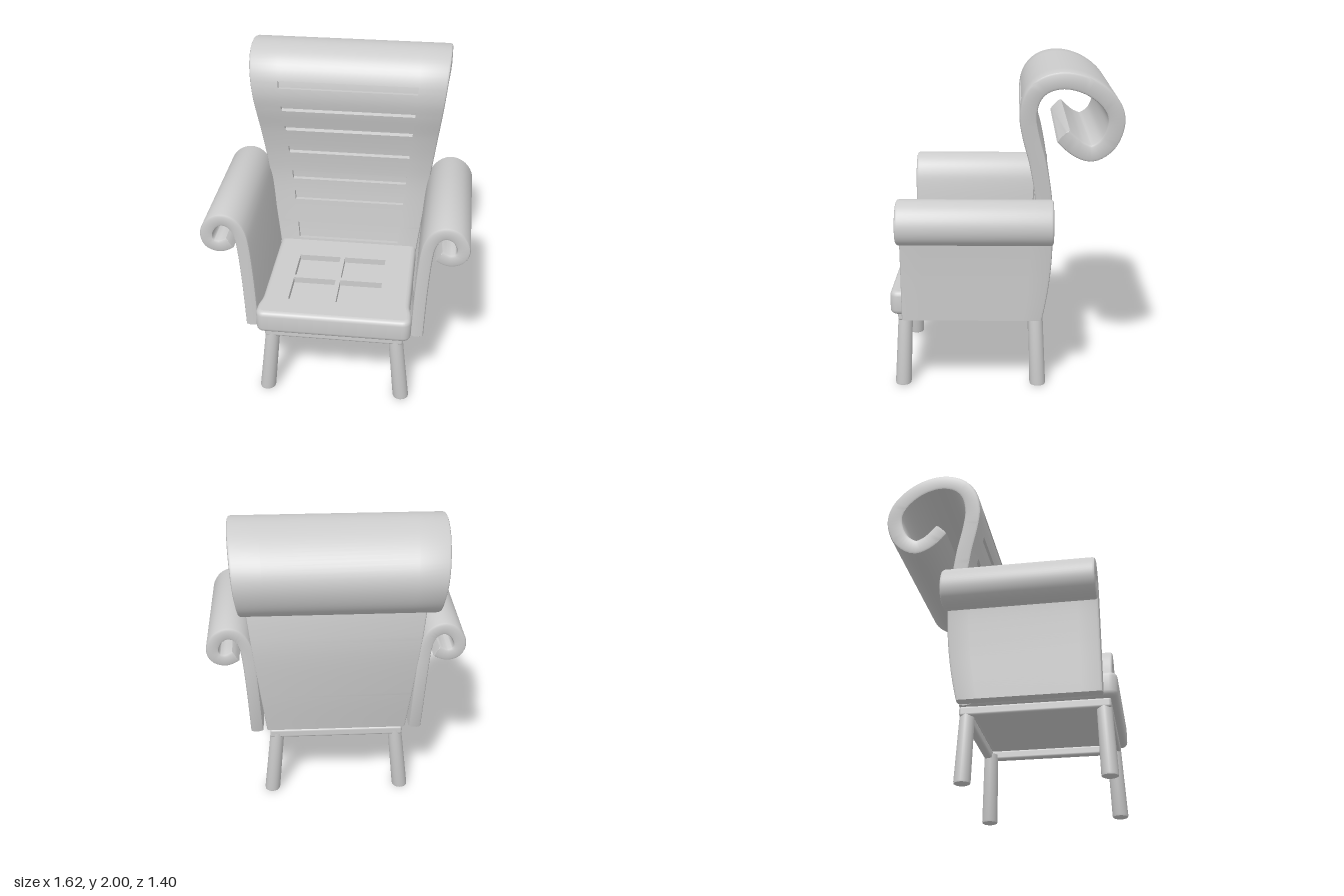
import * as THREE from 'three';
import { toCreasedNormals } from 'three/addons/utils/BufferGeometryUtils.js';
import { RoundedBoxGeometry } from 'three/addons/geometries/RoundedBoxGeometry.js';

const material = new THREE.MeshStandardMaterial({ color: 0xcccccc });
const V = (x, y, z) => new THREE.Vector3(x, y, z);

function addMesh(parent, name, geometry) {
  const mesh = new THREE.Mesh(geometry, material);
  mesh.name = name;
  parent.add(mesh);
  return mesh;
}

// Collects quads and triangles into one creased geometry
function surface() {
  const pos = [];
  const tri = (...pts) => pts.forEach((p) => pos.push(p.x, p.y, p.z));
  return {
    tri,
    quad: (a, b, c, d) => { tri(a, b, c); tri(a, c, d); },
    build: () => {
      const g = new THREE.BufferGeometry();
      g.setAttribute('position', new THREE.Float32BufferAttribute(pos, 3));
      return toCreasedNormals(g, 0.6);
    },
  };
}

const curve2 = (pts) => new THREE.SplineCurve(pts.map((p) => new THREE.Vector2(...p)));

// Thick rolled sheet: a softened rectangle swept along a planar curve,
// with optional recessed slots given as [low, high] heights
function scrollSheet(curve, h, r, edges, place, slots = []) {
  const at = (t, off) => {
    const p = curve.getPointAt(t), d = curve.getTangentAt(t);
    return new THREE.Vector2(p.x + d.y * off, p.y - d.x * off);
  };
  const findT = (y) => {
    let a = 0, b = 0.55;
    for (let k = 0; k < 30; k++) {
      const m = (a + b) / 2;
      if (at(m, h).y < y) a = m; else b = m;
    }
    return a;
  };
  const cuts = slots.map((s) => s.map(findT));
  const ts = [0.003, 0.994, 0.998, ...cuts.flat()];
  for (let i = 0; i <= 110; i++) ts.push(i / 110);
  ts.sort((a, b) => a - b);

  // [side blend, inset, thickness offset]
  const s = 0.3 * r;
  const section = [
    [0, r, h], [0.1425, 0, h], [0.8575, 0, h], [1, -r, h], [1, -s, h - s], [1, 0, h - r],
    [1, 0, r - h], [1, -s, s - h], [1, -r, -h], [0, r, -h], [0, s, s - h], [0, 0, r - h],
    [0, 0, h - r], [0, s, h - s],
  ];
  const point = (t, [a, b, off]) => {
    const [lo, hi] = edges(curve.getPointAt(t));
    const end = t === 0 || t === 1 ? 0.7 : 1;
    return place(at(t, off * end), lo + (hi - lo) * a + b);
  };
  const rows = ts.map((t) => section.map((c) => point(t, c)));
  const floors = ts.map((t) => [1, 2].map((k) => point(t, [section[k][0], 0, h - 0.03])));
  const slotAt = (i) => cuts.findIndex(([a, b]) => {
    const m = (ts[i] + ts[i + 1]) / 2;
    return m > a && m < b;
  });

  const out = surface();
  for (let i = 0; i < rows.length - 1; i++) {
    const A = rows[i], B = rows[i + 1], slot = slotAt(i);
    for (let j = 0; j < A.length; j++) {
      const k = (j + 1) % A.length;
      if (j === 1 && slot >= 0) {
        const [a1, a2] = floors[i], [b1, b2] = floors[i + 1];
        out.quad(a1, a2, b2, b1);
        out.quad(a1, b1, B[1], A[1]);
        out.quad(A[2], B[2], b2, a2);
        if (slotAt(i - 1 < 0 ? 0 : i - 1) !== slot) out.quad(a1, A[1], A[2], a2);
        if (slotAt(i + 1) !== slot) out.quad(b2, B[2], B[1], b1);
      } else out.quad(A[j], A[k], B[k], B[j]);
    }
  }
  const first = rows[0], last = rows[rows.length - 1];
  for (let j = 1; j < section.length - 1; j++) {
    out.tri(first[0], first[j + 1], first[j]);
    out.tri(last[0], last[j], last[j + 1]);
  }
  return out.build();
}

// Cushion outline as (x, -z), wider where it overhangs in front of the arms
function seatOutline(inset) {
  const r = 0.05, hw = 0.48, pts = [];
  const corner = (x, y, start) => {
    for (let k = 0; k <= 6; k++) {
      const a = (start + k / 12) * Math.PI;
      pts.push([x + (r - inset) * Math.cos(a), y + (r - inset) * Math.sin(a)]);
    }
  };
  const side = [-0.61, -0.585, -0.56, -0.53, -0.5];
  corner(hw - r, -0.7 + r, -0.5);
  side.forEach((y) => pts.push([hw - inset, y]));
  corner(hw - r, 0.2 - r, 0);
  corner(r - hw, 0.2 - r, 0.5);
  [...side].reverse().forEach((y) => pts.push([inset - hw, y]));
  corner(r - hw, -0.7 + r, 1);
  return pts.map(([x, y]) => {
    const flare = 0.462 + 0.018 * THREE.MathUtils.smoothstep(-y, 0.5, 0.61);
    return new THREE.Vector2((x * flare) / hw, y);
  });
}

function createSeat() {
  const seat = new THREE.Group();
  seat.name = 'seat';
  const bottom = 0.475, top = 0.625, R = 0.03;
  const out = surface(), rings = [];
  for (let k = 0; k <= 4; k++) {
    const a = (k / 8) * Math.PI;
    rings.push([R * (1 - Math.sin(a)), bottom + R * (1 - Math.cos(a))]);
  }
  for (let k = 4; k >= 0; k--) rings.push([rings[k][0], top + bottom - rings[k][1]]);
  const loops = rings.map(([i, y]) => seatOutline(i).map((p) => V(p.x, y, -p.y)));
  const n = loops[0].length, centre = V(0, bottom, 0.25);
  for (let j = 0; j < n; j++) {
    const k = (j + 1) % n;
    for (let i = 0; i < loops.length - 1; i++)
      out.quad(loops[i][j], loops[i][k], loops[i + 1][k], loops[i + 1][j]);
    out.tri(centre, loops[0][k], loops[0][j]);
  }
  addMesh(seat, 'cushionSides', out.build());

  // Top with four square recesses, and the floor beneath them
  const shape = new THREE.Shape(seatOutline(R));
  for (const x of [-0.3, 0]) for (const z of [0.03, 0.295]) {
    const hole = new THREE.Path();
    hole.moveTo(x, -z).lineTo(x, -z - 0.235).lineTo(x + 0.27, -z - 0.235).lineTo(x + 0.27, -z).closePath();
    shape.holes.push(hole);
  }
  const frame = new THREE.ExtrudeGeometry(shape, { depth: 0.04, bevelEnabled: false });
  addMesh(seat, 'cushionTop', frame.rotateX(-Math.PI / 2).translate(0, top - 0.04, 0));
  const floor = new THREE.PlaneGeometry(0.64, 0.56).rotateX(-Math.PI / 2);
  addMesh(seat, 'recessFloor', floor.translate(0, top - 0.04, 0.28));
  return seat;
}

export function createModel() {
  const chair = new THREE.Group();
  chair.name = 'scrollArmchair';
  chair.add(createSeat());

  // Backrest: profile as (z, y), curling over to the rear
  const backCurve = curve2([
    [-0.19, 0.48], [-0.225, 0.75], [-0.248, 1.05], [-0.238, 1.25], [-0.205, 1.45], [-0.162, 1.62],
    [-0.145, 1.74], [-0.17, 1.85], [-0.24, 1.922], [-0.35, 1.948], [-0.47, 1.922], [-0.57, 1.86],
    [-0.635, 1.78], [-0.65, 1.69], [-0.61, 1.58], [-0.525, 1.52], [-0.45, 1.537], [-0.39, 1.58], [-0.345, 1.625],
  ]);
  const slots = [[0.641, 0.758], [0.927, 0.99], [1.08, 1.14], [1.282, 1.33],
    [1.457, 1.492], [1.61, 1.643], [1.77, 1.818]];
  const backEdges = (p) => [-(0.39 + 0.125 * p.y), 0.39 + 0.125 * p.y];
  addMesh(chair, 'backrest', scrollSheet(backCurve, 0.05, 0.014, backEdges, (p, w) => V(w, p.y, p.x), slots));

  // Arms: profile as (x, y), curling outward; the rear edge follows the backrest
  const armCurve = curve2([
    [0.515, 0.47], [0.53, 0.8], [0.55, 1.05], [0.573, 1.15], [0.615, 1.205], [0.67, 1.223],
    [0.725, 1.2], [0.76, 1.15], [0.767, 1.1], [0.747, 1.058], [0.7, 1.04], [0.66, 1.048], [0.625, 1.068],
  ]);
  const rear = (y) => 0.295 - 0.06 * Math.pow(Math.max(0, 1 - y) / 0.53, 2);
  const place = (p, w) => V(p.x, p.y, -w);
  addMesh(chair, 'leftArm', scrollSheet(armCurve, 0.04, 0.016, (p) => [-0.62, rear(p.y)], place));
  const right = scrollSheet(armCurve, 0.04, 0.016, (p) => [-rear(p.y), 0.62], place);
  addMesh(chair, 'rightArm', right.rotateY(Math.PI));

  // Rails under the seat
  for (const x of [-0.405, 0.405])
    addMesh(chair, 'sideRail', new RoundedBoxGeometry(0.055, 0.06, 0.9, 2, 0.015).translate(x, 0.45, 0.207));
  for (const z of [-0.215, 0.63])
    addMesh(chair, 'crossRail', new RoundedBoxGeometry(0.86, 0.06, 0.055, 2, 0.015).translate(0, 0.45, z));

  // Splayed round legs
  const profile = [[0, 0], [0.04, 0], [0.048, 0.004], [0.05, 0.014], [0.045, 0.45], [0, 0.45]]
    .map((p) => new THREE.Vector2(...p));
  for (const sx of [-1, 1]) for (const [z, lean] of [[0.613, 0.02], [-0.2, -0.015]]) {
    const leg = new THREE.LatheGeometry(profile, 20), p = leg.attributes.position;
    for (let i = 0; i < p.count; i++) {
      const k = 1 - p.getY(i) / 0.45;
      p.setX(i, p.getX(i) + sx * (0.385 + 0.045 * k));
      p.setZ(i, p.getZ(i) + z + lean * k);
    }
    addMesh(chair, z > 0 ? 'frontLeg' : 'backLeg', toCreasedNormals(leg, 0.6));
  }
  return chair;
}
